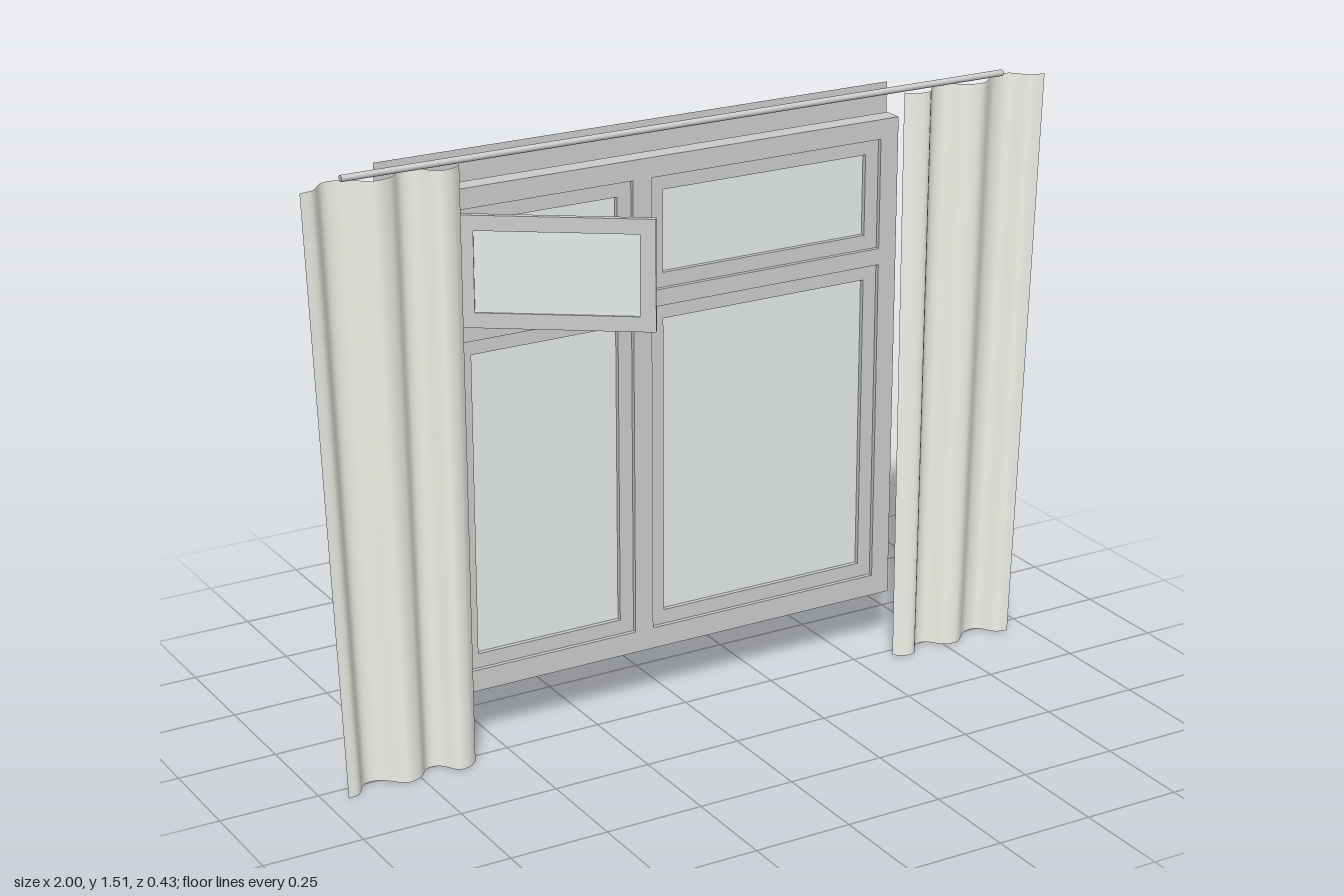
import * as THREE from 'three';

const grey = new THREE.MeshStandardMaterial({ color: 0xcccccc });
const glassMat = new THREE.MeshStandardMaterial({ color: 0xe4ebe6 });
const clothMat = new THREE.MeshStandardMaterial({ color: 0xf0f0e8, side: THREE.DoubleSide });
const panelMat = new THREE.MeshStandardMaterial({ color: 0xcccccc, side: THREE.DoubleSide });

function add(parent, name, geometry, material) {
  const mesh = new THREE.Mesh(geometry, material);
  mesh.name = name;
  parent.add(mesh);
  return mesh;
}

function rect(Type, x0, x1, y0, y1) {
  const r = new Type();
  r.moveTo(x0, y0);
  r.lineTo(x1, y0);
  r.lineTo(x1, y1);
  r.lineTo(x0, y1);
  r.closePath();
  return r;
}

// Flat slab with rectangular openings, from z0 to z1
function slab(outer, holes, z0, z1) {
  const shape = rect(THREE.Shape, ...outer);
  for (const h of holes) shape.holes.push(rect(THREE.Path, ...h));
  return new THREE.ExtrudeGeometry(shape, { depth: z1 - z0, bevelEnabled: false }).translate(0, 0, z0);
}

// Sash border with its pane, filling a rectangle
function addSash(parent, name, [x0, x1, y0, y1], z0, z1) {
  const b = 0.037;
  const sash = new THREE.Group();
  sash.name = name;
  const inner = [x0 + b, x1 - b, y0 + b, y1 - b];
  add(sash, 'sashBorder', slab([x0, x1, y0, y1], [inner], z0, z1), grey);
  const mid = (z0 + z1) / 2;
  add(sash, 'glassPane', slab(inner, [], mid - 0.003, mid + 0.003), glassMat);
  parent.add(sash);
  return sash;
}

// Wavy cloth, lofted between a wide top edge and a narrower hem
function curtainGeometry() {
  const profile = [
    [0.6, 0.02], [0.625, 0.037], [0.66, 0.04], [0.70, -0.002], [0.735, -0.005], [0.775, 0.03],
    [0.82, 0.038], [0.88, -0.005], [0.925, -0.007], [0.965, 0.035], [1.0, 0.042],
  ];
  const curve = new THREE.CatmullRomCurve3(profile.map(([x, z]) => new THREE.Vector3(x, 0, z)));
  const along = 60, height = 1.49;
  const geo = new THREE.PlaneGeometry(1, 1, along, 8);
  const pos = geo.attributes.position;
  for (let i = 0; i < pos.count; i++) {
    const p = curve.getPoint(pos.getX(i) + 0.5);
    const t = pos.getY(i) + 0.5;
    const spread = 0.86 + 0.14 * t;
    pos.setXYZ(i, 0.6 + (p.x - 0.6) * spread, t * height, p.z + 0.007 * (1 - t));
  }
  geo.computeVertexNormals();
  return geo;
}

export function createModel() {
  const model = new THREE.Group();
  model.name = 'curtainedWindow';

  // Window frame with four openings
  const openings = [
    [-0.58, -0.115, 0.2, 1.038], [-0.065, 0.58, 0.2, 1.038],
    [-0.58, -0.115, 1.08, 1.36], [-0.065, 0.58, 1.08, 1.36],
  ];
  const win = new THREE.Group();
  win.name = 'window';
  model.add(win);
  add(win, 'windowFrame', slab([-0.63, 0.63, 0.145, 1.41], openings, -0.097, -0.047), grey);
  const names = ['lowerRightSash', 'lowerLeftSash', 'upperRightSash', 'upperLeftSash'];
  openings.forEach((o, i) => addSash(win, names[i], o, -0.088, -0.058));

  // Small vent swung open about its outer edge
  const vent = addSash(model, 'openVent', [0, 0.456, 1.08, 1.352], -0.007, 0.007);
  vent.position.set(-0.576, 0, -0.047);
  vent.rotation.y = -0.603;

  // Plain sheet behind the window
  add(model, 'backPanel', new THREE.PlaneGeometry(1.41, 1.34), panelMat).position.set(0, 0.78, -0.213);

  // Curtains, mirrored
  const cloth = curtainGeometry();
  add(model, 'leftCurtain', cloth, clothMat);
  add(model, 'rightCurtain', cloth, clothMat).scale.x = -1;

  // Curtain rod
  const rod = add(model, 'curtainRod', new THREE.CylinderGeometry(0.008, 0.008, 1.78, 16), grey);
  rod.rotation.z = Math.PI / 2;
  rod.position.set(0, 1.5, 0.015);

  return model;
}
